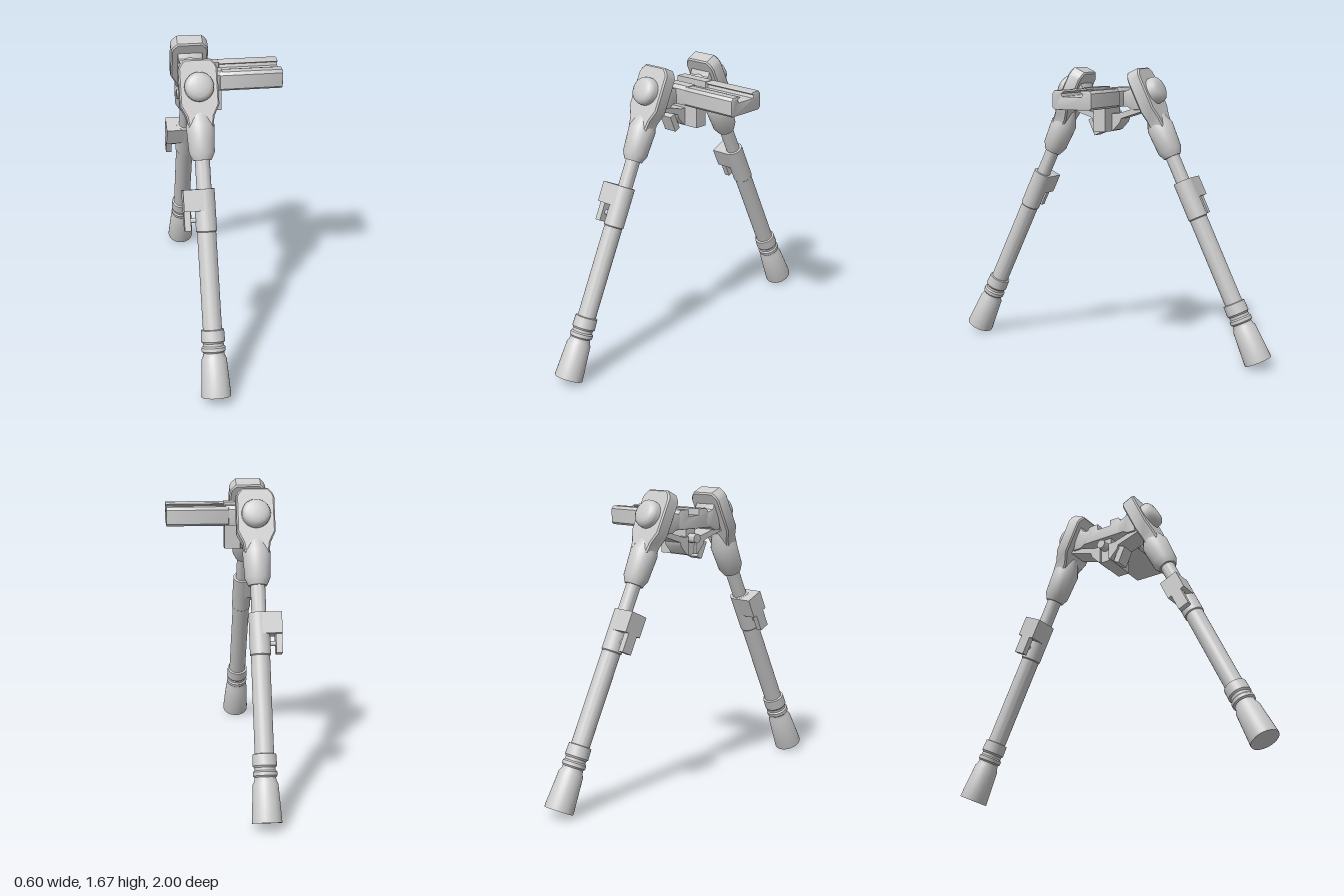
import * as THREE from 'three';
import { toCreasedNormals } from 'three/addons/utils/BufferGeometryUtils.js';

const material = new THREE.MeshStandardMaterial({ color: 0xcccccc });
const TILT = 0.443; // lean of each leg
const LEG_X = -0.183;

function add(parent, name, geometry) {
  const mesh = new THREE.Mesh(toCreasedNormals(geometry, 0.6), material);
  mesh.name = name;
  parent.add(mesh);
  return mesh;
}

function lathe(points, segments = 28) {
  return new THREE.LatheGeometry(points.map(([r, y]) => new THREE.Vector2(r, y)), segments);
}

function outline(points) {
  return new THREE.Shape(points.map(([x, y]) => new THREE.Vector2(x, y)));
}

function box(x0, x1, y0, y1, z0, z1) {
  return new THREE.BoxGeometry(x1 - x0, y1 - y0, z1 - z0)
    .translate((x0 + x1) / 2, (y0 + y1) / 2, (z0 + z1) / 2);
}

// Extrudes a (z, y) outline along x
function extrudeX(points, x0, x1, bevel = 0) {
  return new THREE.ExtrudeGeometry(outline(points), {
    depth: x1 - x0 - 2 * bevel, bevelEnabled: bevel > 0,
    bevelSize: bevel, bevelThickness: bevel, bevelOffset: -bevel, bevelSegments: 2,
  }).rotateY(-Math.PI / 2).translate(x1 - bevel, 0, 0);
}

// Repeats half an outline on the other side of the centre line
function mirrored(half) {
  return [...half, ...half.map(([x, y]) => [-x, y]).reverse()];
}

// Leg in its own frame: y runs up the leg, s * z points outward
function createLeg(s) {
  const leg = new THREE.Group();
  leg.name = s > 0 ? 'frontLeg' : 'backLeg';
  leg.position.set(LEG_X, 0.037, 0.93 * s);
  leg.rotation.x = -s * TILT;

  // Rubber boot with two rings
  add(leg, 'foot', lathe([
    [0, 0], [0.079, 0], [0.079, 0.015], [0.067, 0.2], [0.058, 0.218], [0.056, 0.235],
    [0.064, 0.243], [0.064, 0.262], [0.056, 0.27], [0.056, 0.285], [0.064, 0.295],
    [0.062, 0.355], [0.05, 0.358],
  ]));
  add(leg, 'lowerTube', lathe([[0.051, 0.34], [0.051, 0.9]]));
  add(leg, 'upperTube', lathe([[0.04, 1.08], [0.04, 1.28]]));

  // Clamp collar with its side block and lever
  add(leg, 'collar', lathe([
    [0.045, 0.868], [0.056, 0.88], [0.056, 1.104], [0.036, 1.104],
  ]));
  add(leg, 'clampBlock', box(-0.117, 0, 0.988, 1.103, -0.055, 0.055));
  add(leg, 'clampLever', box(-0.117, -0.083, 0.885, 0.99, -0.032, 0.032));
  const pin = add(leg, 'clampPin', new THREE.CylinderGeometry(0.014, 0.014, 0.06, 14));
  pin.rotation.z = Math.PI / 2;
  pin.position.set(-0.062, 0.94, 0);

  // Socket that narrows into the flat head
  add(leg, 'socket', lathe([
    [0.036, 1.255], [0.05, 1.255], [0.069, 1.295], [0.076, 1.44], [0.04, 1.53], [0, 1.53],
  ]));
  const head = mirrored([
    [0.066, 1.43], [0.074, 1.485], [0.104, 1.545], [0.104, 1.74], [0.094, 1.762], [0.07, 1.788],
  ]);
  add(leg, 'head', new THREE.ExtrudeGeometry(outline(head), {
    depth: 0.067, bevelThickness: 0.008, bevelSize: 0.008, bevelOffset: -0.008, bevelSegments: 1,
  }).translate(0, 0, -0.0335 + 0.008 * s));

  // Domed pivot cap outside, boss inside
  const cap = add(leg, 'pivotCap', lathe([
    [0.078, 0], [0.078, 0.072], [0.072, 0.088], [0.056, 0.1], [0.03, 0.105], [0, 0.106],
  ]));
  cap.rotation.x = s * Math.PI / 2;
  cap.position.y = 1.64;
  const boss = add(leg, 'pivotBoss', new THREE.CylinderGeometry(0.066, 0.066, 0.06, 24));
  boss.rotation.x = Math.PI / 2;
  boss.position.set(0, 1.64, -0.055 * s);
  return leg;
}

function createMount() {
  const mount = new THREE.Group();
  mount.name = 'mount';

  // Rail with an undercut channel
  add(mount, 'rail', extrudeX(mirrored([
    [0.108, 1.45], [0.12, 1.462], [0.12, 1.54], [0.107, 1.556], [0.062, 1.556],
    [0.042, 1.55], [0.066, 1.538], [0.06, 1.522],
  ]), -0.05, 0.295, 0.003));
  add(mount, 'body', extrudeX(mirrored([
    [0.112, 1.452], [0.115, 1.465], [0.115, 1.54], [0.1, 1.56], [0.042, 1.56], [0.042, 1.524],
  ]), -0.25, -0.035, 0.003));
  add(mount, 'keel', box(-0.225, -0.032, 1.308, 1.47, -0.037, 0.037));

  for (const s of [1, -1]) {
    const side = (points) => points.map(([z, y]) => [z * s, y]);
    // Lug reaching out to the pivot
    add(mount, 'lug', extrudeX(side([
      [0.1, 1.452], [0.135, 1.452], [0.165, 1.435], [0.215, 1.435], [0.195, 1.53],
      [0.165, 1.585], [0.15, 1.55], [0.125, 1.54], [0.1, 1.535],
    ]), -0.25, -0.112, 0.004));
    // Slim brace under the lug
    add(mount, 'brace', extrudeX(side([
      [0.03, 1.308], [0.045, 1.313], [0.088, 1.36], [0.095, 1.382], [0.235, 1.428],
      [0.225, 1.455], [0.07, 1.41], [0.03, 1.41],
    ]), -0.24, -0.12));
  }

  // Pivot pin and small locking tab
  const pin = add(mount, 'crossPin', new THREE.CylinderGeometry(0.026, 0.026, 0.07, 18));
  pin.rotation.z = Math.PI / 2;
  pin.position.set(-0.242, 1.4, 0);
  const tab = add(mount, 'lockTab', box(-0.04, 0.04, -0.05, 0.05, -0.019, 0.019));
  tab.position.set(-0.185, 1.33, 0.092);
  tab.rotation.x = 0.42;
  return mount;
}

export function createModel() {
  const model = new THREE.Group();
  model.name = 'bipod';
  model.add(createMount(), createLeg(1), createLeg(-1));
  return model;
}
